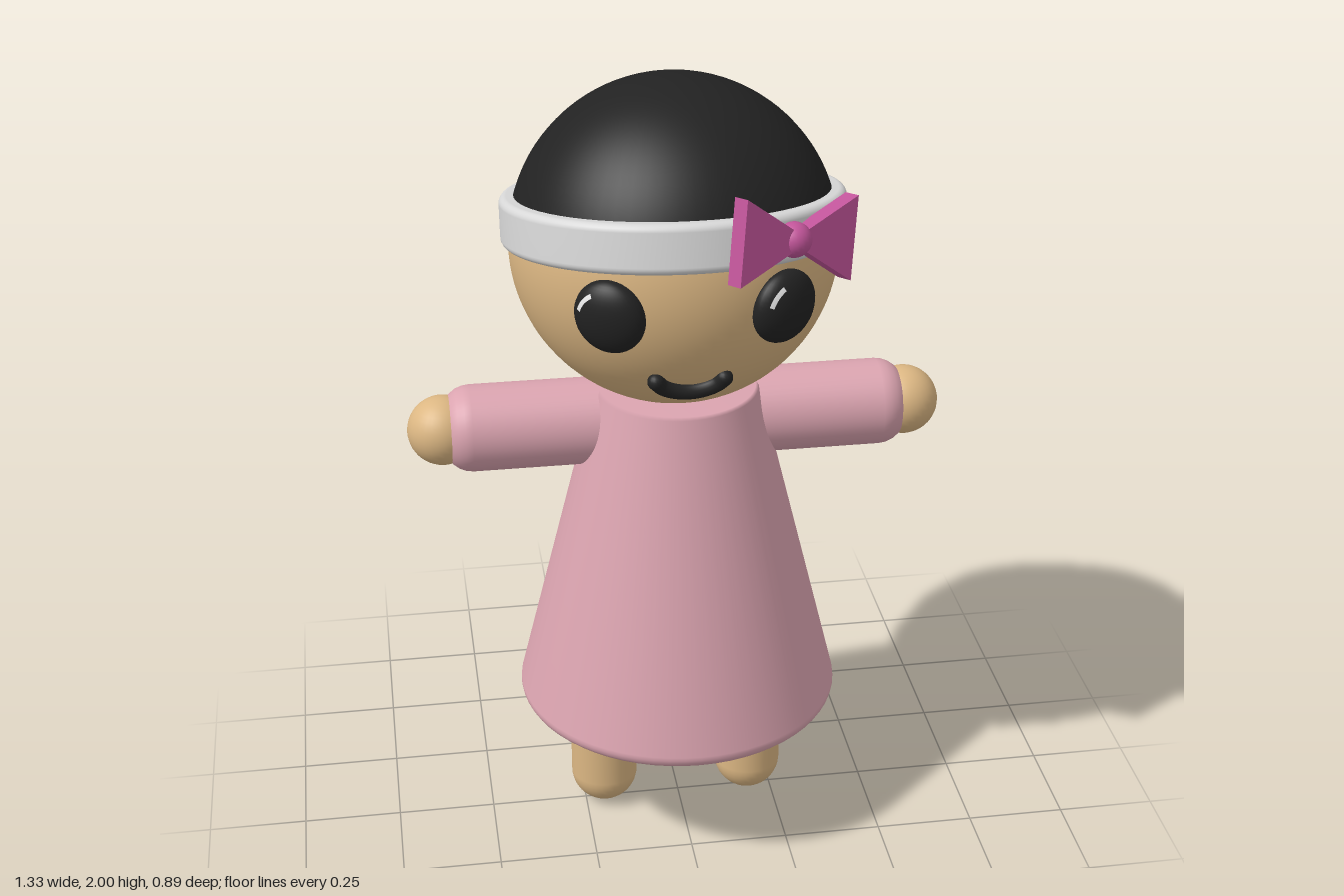
import * as THREE from 'three';

const mat = (name, color, side = THREE.FrontSide) => {
  const m = new THREE.MeshStandardMaterial({ color, side });
  m.name = name;
  return m;
};

// Quarter-round corner for lathe profiles: centre (cx, cy), radius r, angles a to b
const corner = (cx, cy, r, a, b, n = 6) =>
  Array.from({ length: n + 1 }, (_, i) => {
    const t = a + ((b - a) * i) / n;
    return new THREE.Vector2(cx + r * Math.cos(t), cy + r * Math.sin(t));
  });

export function createModel() {
  const skin = mat('skin', 0xdcb783);
  const pink = mat('dressPink', 0xdba4b0);
  const magenta = mat('bowMagenta', 0xc2559a);
  const black = mat('black', 0x222222);
  const grey = mat('bandWhite', 0xd8d8d8);
  const white = mat('glintWhite', 0xffffff, THREE.DoubleSide);

  const model = new THREE.Group();
  const add = (name, geo, material, parent = model, x = 0, y = 0, z = 0) => {
    const m = new THREE.Mesh(geo, material);
    m.name = name;
    m.position.set(x, y, z);
    parent.add(m);
    return m;
  };
  const V = (x, y) => new THREE.Vector2(x, y);
  const H = Math.PI / 2;

  // Dress: closed cone with a rounded hem
  add('dress', new THREE.LatheGeometry([
    V(0, 0.345), V(0.375, 0.345),
    ...corner(0.38, 0.375, 0.03, -H, 0.24),
    V(0.202, 1.215), V(0.195, 1.222), V(0, 1.222),
  ], 64), pink, model, 0, 0, -0.01);

  // Sleeves: one rounded bar through the shoulders
  const sleeve = new THREE.LatheGeometry([
    V(0, -0.58), ...corner(0.038, -0.51, 0.07, -H, 0),
    ...corner(0.038, 0.51, 0.07, 0, H), V(0, 0.58),
  ], 48);
  add('sleeves', sleeve.rotateZ(H), pink, model, 0, 1.122, -0.033);

  // Hands and legs
  for (const s of [-1, 1]) {
    const side = s > 0 ? 'left' : 'right';
    add(side + 'Hand', new THREE.SphereGeometry(0.087, 32, 20), skin, model, s * 0.58, 1.122, -0.033);
    add(side + 'Leg', new THREE.CapsuleGeometry(0.087, 0.28, 10, 32), skin, model, s * 0.194 - 0.004, 0.227, -0.009);
  }

  // Head, tilted so that hair and band slope down at the back
  const R = 0.395, split = Math.acos(0.06 / R);
  const head = new THREE.Group();
  head.name = 'head';
  head.position.set(-0.008, 1.605, -0.01);
  model.add(head);
  const crown = new THREE.Group();
  crown.name = 'crown';
  crown.rotation.x = -0.175;
  head.add(crown);
  add('hair', new THREE.SphereGeometry(R, 64, 24, 0, Math.PI * 2, 0, split), black, crown);
  add('face', new THREE.SphereGeometry(R, 64, 32, 0, Math.PI * 2, split, Math.PI - split), skin, crown);

  // Headband: ring with rounded outer edges
  add('headband', new THREE.LatheGeometry([
    V(0.36, -0.058), ...corner(0.394, -0.04, 0.018, -H, 0),
    ...corner(0.394, 0.04, 0.018, 0, H), V(0.36, 0.058),
  ], 72), grey, crown, 0, 0.06, 0);

  // Eyes: flattened balls facing outward, each with a curved glint
  for (const s of [-1, 1]) {
    const eye = new THREE.Group();
    eye.name = s > 0 ? 'leftEye' : 'rightEye';
    eye.position.set(s * 0.199 + 0.004, -0.042, 0.338);
    eye.rotation.set(0.08, s * 0.52, 0, 'YXZ');
    eye.scale.set(0.086, 0.09, 0.046);
    head.add(eye);
    add('eyeball', new THREE.SphereGeometry(1, 32, 24), black, eye);
    const a = s > 0 ? 2.0 : 2.05;
    const glint = new THREE.SphereGeometry(1.015, 12, 3, a + Math.PI, 0.8, 0.78, 0.17);
    add('glint', glint.rotateX(H), white, eye);
  }

  // Mouth: tube following the curve of the face, with round ends
  const smile = Array.from({ length: 9 }, (_, i) => {
    const t = i / 4 - 1;
    const x = 0.08 * Math.sin(t * 1.2) / Math.sin(1.2);
    const y = -0.218 - 0.037 * (Math.cos(t * 1.2) - Math.cos(1.2)) / (1 - Math.cos(1.2));
    return new THREE.Vector3(x, y, Math.sqrt(0.402 ** 2 - x * x - y * y));
  });
  const mouth = new THREE.Group();
  mouth.name = 'mouth';
  mouth.position.x = -0.01;
  head.add(mouth);
  add('smile', new THREE.TubeGeometry(new THREE.CatmullRomCurve3(smile), 32, 0.02, 12), black, mouth);
  for (const p of [smile[0], smile[8]])
    add('mouthCorner', new THREE.SphereGeometry(0.02, 16, 12), black, mouth, p.x, p.y, p.z);

  // Bow: two wedge wings and a round knot on the left side of the band
  const bow = new THREE.Group();
  bow.name = 'bow';
  bow.position.set(0.213, 1.728, 0.338);
  bow.rotation.set(-0.13, 0.53, -0.2, 'YXZ');
  model.add(bow);
  for (const s of [-1, 1]) {
    const wing = new THREE.Shape([V(0, -0.015), V(0.165, -0.098), V(0.165, 0.098), V(0, 0.015)]);
    const geo = new THREE.ExtrudeGeometry(wing, { depth: 0.044, bevelEnabled: false });
    geo.translate(0, 0, -0.022);
    if (s < 0) geo.rotateZ(Math.PI);
    add(s > 0 ? 'leftWing' : 'rightWing', geo, magenta, bow);
  }
  add('knot', new THREE.SphereGeometry(0.041, 24, 16), magenta, bow);

  return model;
}
